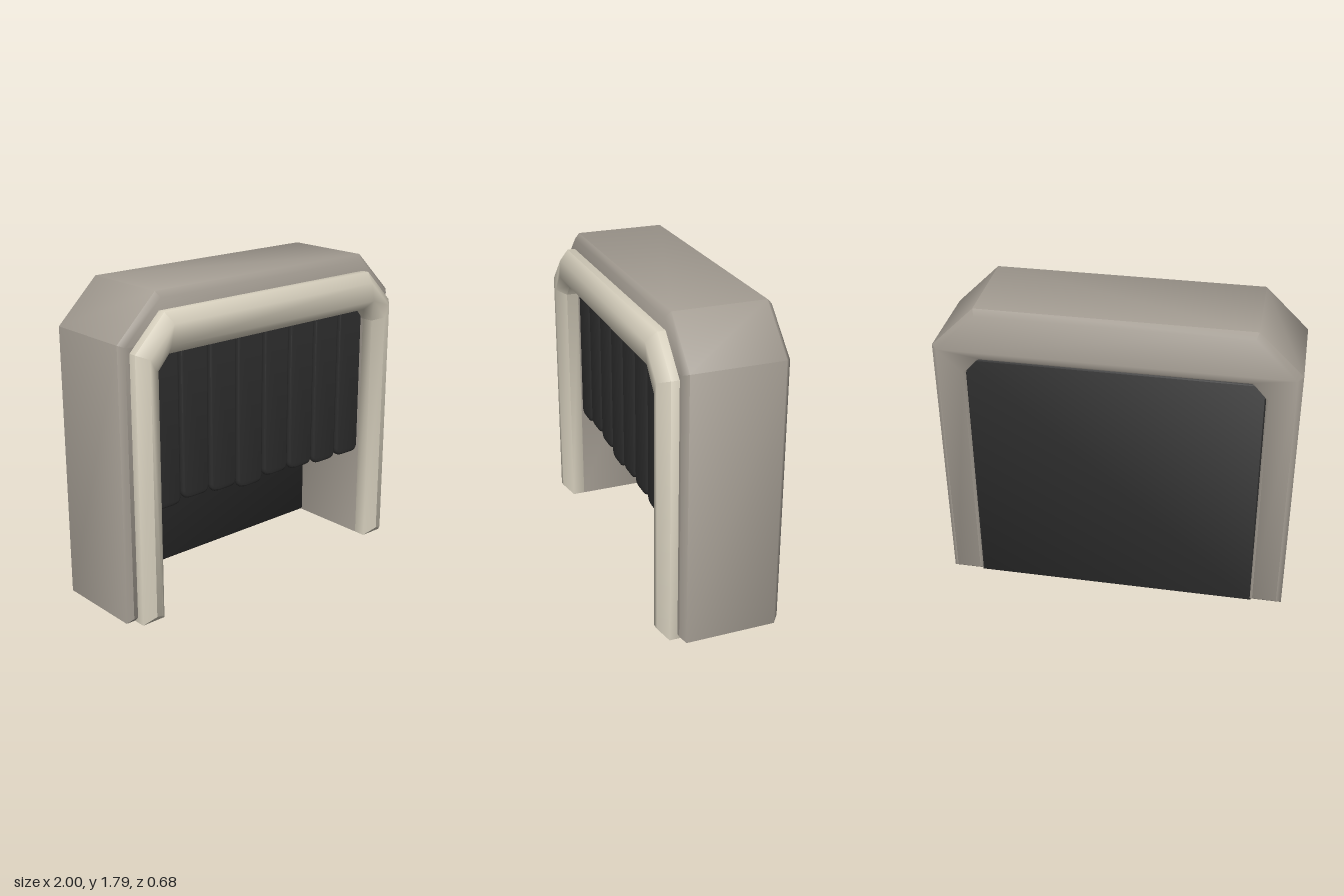
import * as THREE from 'three';
import { toCreasedNormals } from 'three/addons/utils/BufferGeometryUtils.js';

const material = (name, color) => {
  const m = new THREE.MeshStandardMaterial({ color });
  m.name = name;
  return m;
};

// Extrudes a shape from zBack to zFront with chamfers that stay inside its outline
function slab(shape, zBack, zFront, bevel, segments = 1) {
  const geo = new THREE.ExtrudeGeometry(shape, {
    depth: zFront - zBack - 2 * bevel,
    bevelEnabled: true,
    bevelThickness: bevel,
    bevelSize: bevel,
    bevelOffset: -bevel,
    bevelSegments: segments,
    curveSegments: 5,
  });
  geo.translate(0, 0, zBack + bevel);
  return toCreasedNormals(geo, 0.9);
}

// Arch standing on the ground with cut corners, outside and inside
function archShape(outer, inner) {
  const side = ({ w, h, cx, cy }) => [[w, 0], [w, h - cy], [w - cx, h]];
  const mirror = (pts) => pts.map(([x, y]) => [-x, y]).reverse();
  const o = side(outer), i = side(inner);
  const pts = [...o, ...mirror(o), ...mirror(i).reverse(), ...[...i].reverse()];
  return new THREE.Shape(pts.map(([x, y]) => new THREE.Vector2(x, y)));
}

// Hanging strip with rounded lower corners
function stripShape(width, bottom, top, r) {
  const w = width / 2;
  const s = new THREE.Shape();
  s.moveTo(-w, top);
  s.lineTo(-w, bottom + r);
  s.quadraticCurveTo(-w, bottom, -w + r, bottom);
  s.lineTo(w - r, bottom);
  s.quadraticCurveTo(w, bottom, w, bottom + r);
  s.lineTo(w, top);
  return s;
}

export function createModel() {
  const group = new THREE.Group();
  const frameMat = material('warm grey', 0xa39c92);
  const trimMat = material('cream', 0xd6cfbd);
  const darkMat = material('charcoal', 0x2e2e2e);

  const add = (name, geo, mat, parent = group) => {
    const mesh = new THREE.Mesh(geo, mat);
    mesh.name = name;
    parent.add(mesh);
    return mesh;
  };

  const opening = { w: 0.8, h: 1.48, cx: 0.07, cy: 0.08 };

  // Deep outer arch
  const outer = { w: 1, h: 1.795, cx: 0.245, cy: 0.24 };
  add('archFrame', slab(archShape(outer, opening), -0.34, 0.24, 0.03), frameMat);

  // Padded trim around the front opening
  const trim = { w: 0.945, h: 1.7, cx: 0.19, cy: 0.19 };
  add('frontTrim', slab(archShape(trim, opening), 0.16, 0.34, 0.055), trimMat);

  // Back panel closing the opening
  const panel = new THREE.Shape([
    new THREE.Vector2(-0.82, 0), new THREE.Vector2(0.82, 0),
    new THREE.Vector2(0.82, 1.5), new THREE.Vector2(-0.82, 1.5),
  ]);
  add('backPanel', slab(panel, -0.333, -0.27, 0.012), darkMat);

  // Curtain of hanging strips with uneven lower ends
  const curtain = new THREE.Group();
  curtain.name = 'curtain';
  group.add(curtain);
  [0.595, 0.61, 0.595, 0.565, 0.585, 0.575, 0.56, 0.56].forEach((bottom, i) => {
    const strip = add('curtainStrip', slab(stripShape(0.185, bottom, 1.53, 0.05), 0.17, 0.21, 0.012, 2), darkMat, curtain);
    strip.position.x = -0.7 + i * 0.2;
  });

  return group;
}
